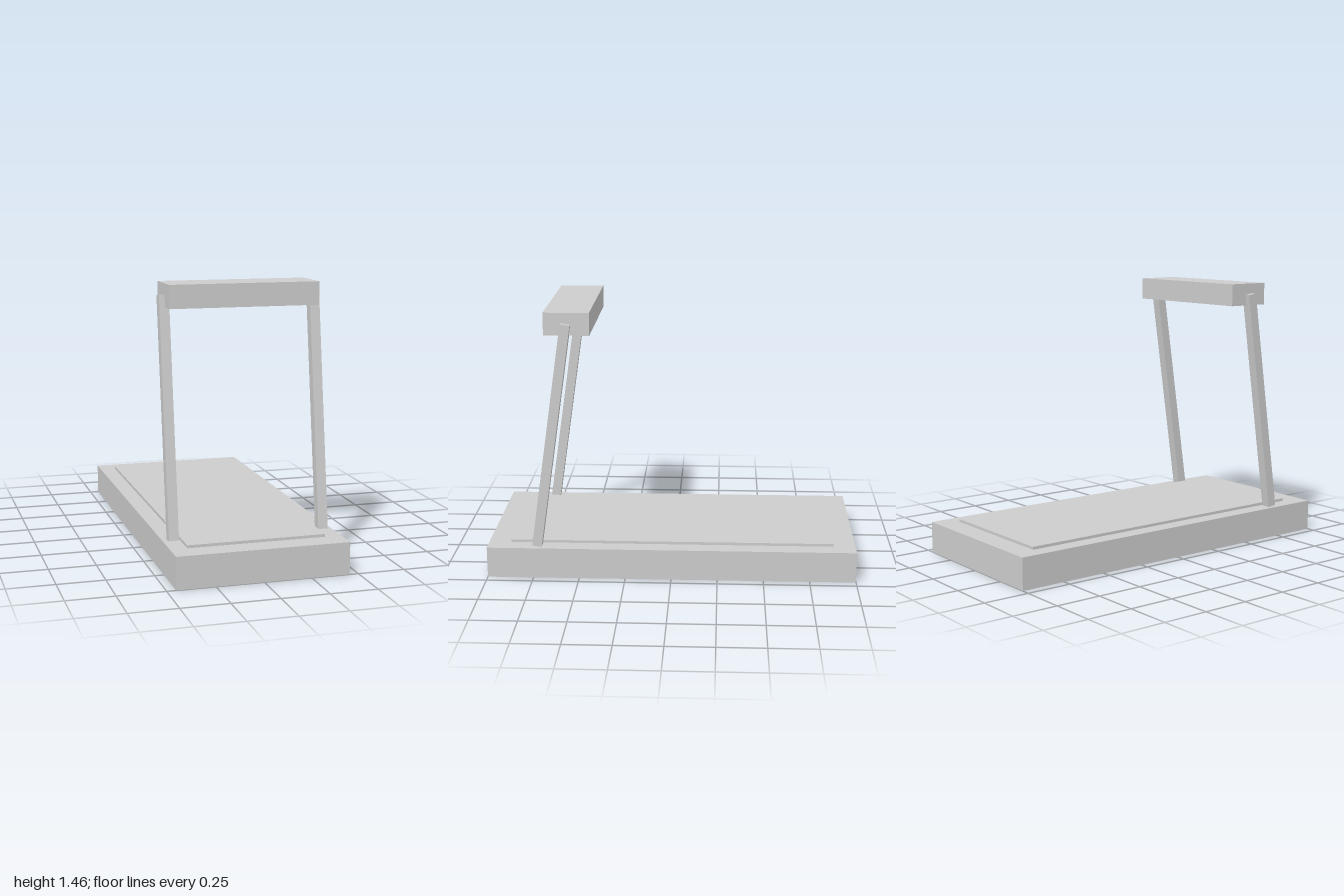
import * as THREE from 'three';

export function createModel() {
  const model = new THREE.Group();
  model.name = 'treadmill';
  const lightGrey = new THREE.MeshStandardMaterial({ name: 'light grey', color: 0xcccccc });

  const addBox = (name, [w, h, d], [x, y, z]) => {
    const mesh = new THREE.Mesh(new THREE.BoxGeometry(w, h, d), lightGrey);
    mesh.name = name;
    mesh.position.set(x, y, z);
    model.add(mesh);
    return mesh;
  };

  // Deck with the running belt slightly proud of its top
  addBox('deck', [0.905, 0.17, 2], [0, 0.085, 0]);
  addBox('runningBelt', [0.728, 0.03, 1.757], [0, 0.17, 0]);

  // Two uprights leaning back towards the runner
  const foot = new THREE.Vector2(0.73, 0.172); // (z, y)
  const head = new THREE.Vector2(0.549, 1.397);
  const lean = Math.atan2(head.x - foot.x, head.y - foot.y);
  const middle = foot.clone().add(head).multiplyScalar(0.5);
  for (const [name, side] of [['leftUpright', 1], ['rightUpright', -1]]) {
    const post = addBox(name, [0.052, foot.distanceTo(head), 0.052], [side * 0.4, middle.y, middle.x]);
    post.rotation.x = lean;
  }

  // Console bar across the top of the uprights
  addBox('console', [0.789, 0.12, 0.241], [-0.002, 1.395, 0.546]);

  return model;
}
